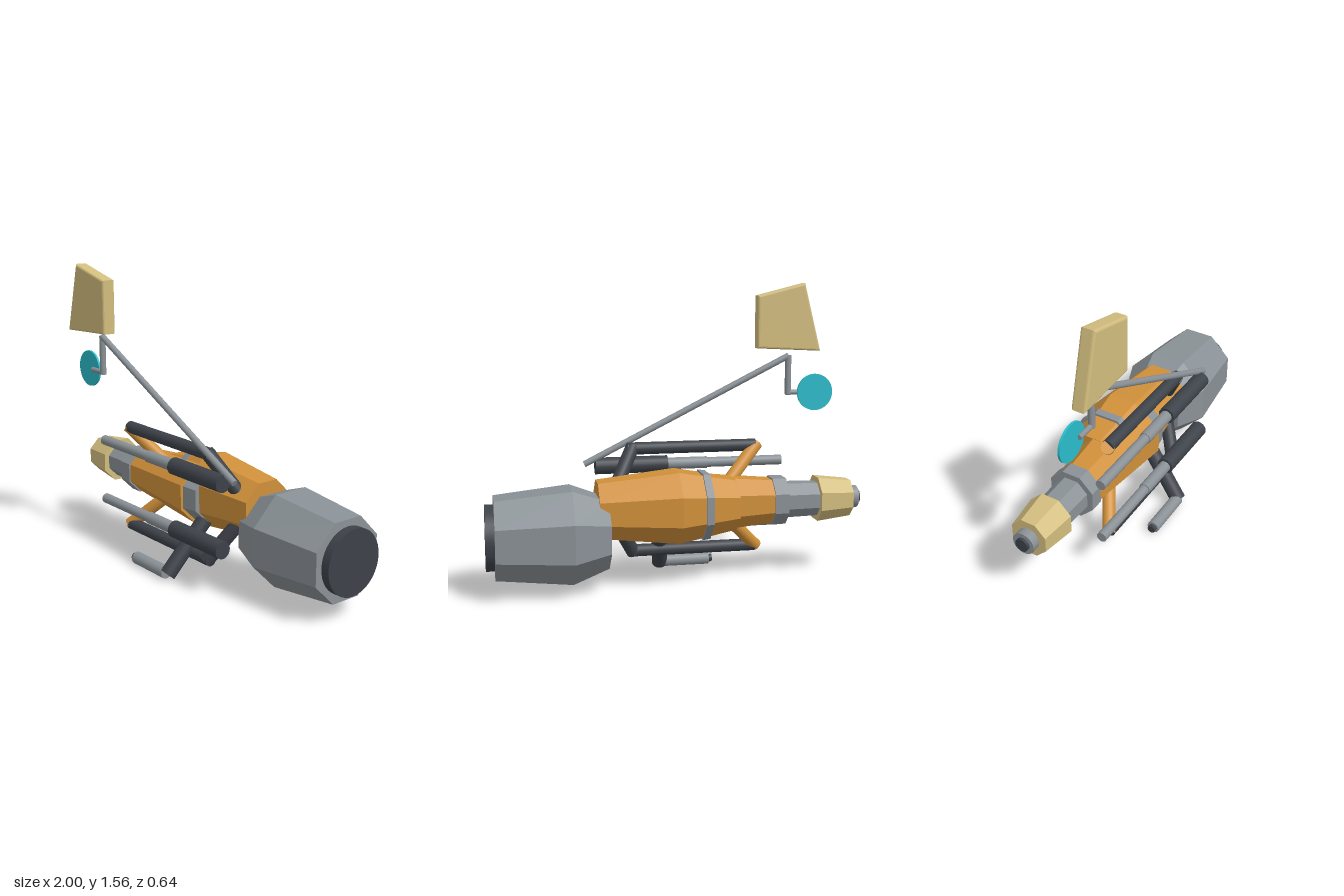
import * as THREE from 'three';

const mat = (name, color) => {
  const m = new THREE.MeshStandardMaterial({ color });
  m.name = name;
  return m;
};

export function createModel() {
  const orange = mat('orange', 0xd0903a);
  const tan = mat('tan', 0xd2bd7e);
  const grey = mat('grey', 0x8a9196);
  const dark = mat('charcoal', 0x3d4249);
  const cyan = mat('cyan', 0x2bbccb);

  const model = new THREE.Group();
  model.name = 'spaceFreighter';
  const add = (name, geometry, material, parent = model) => {
    const mesh = new THREE.Mesh(geometry, material);
    mesh.name = name;
    parent.add(mesh);
    return mesh;
  };
  const group = (name) => {
    const g = new THREE.Group();
    g.name = name;
    model.add(g);
    return g;
  };

  // Faceted eight-sided hull along x; stations are [x, half height], flat side up
  const octagon = (name, stations, y, z, material) => {
    const k = 1 / Math.cos(Math.PI / 8);
    const pts = stations.map(([x, r]) => new THREE.Vector2(r * k, x));
    pts.unshift(new THREE.Vector2(0, stations[0][0]));
    pts.push(new THREE.Vector2(0, stations[stations.length - 1][0]));
    const geo = new THREE.LatheGeometry(pts, 8, Math.PI / 8).toNonIndexed();
    geo.computeVertexNormals();
    geo.rotateZ(-Math.PI / 2);
    return add(name, geo.translate(0, y, z), material);
  };

  // Round rod between two points
  const rod = (name, a, b, r, material, parent, sides = 20) => {
    const p = new THREE.Vector3(...a), q = new THREE.Vector3(...b);
    const d = q.clone().sub(p);
    const mesh = add(name, new THREE.CylinderGeometry(r, r, d.length(), sides), material, parent);
    mesh.position.copy(p).add(q).multiplyScalar(0.5);
    mesh.quaternion.setFromUnitVectors(new THREE.Vector3(0, 1, 0), d.normalize());
    return mesh;
  };

  // Engine
  octagon('engine', [[0.385, 0.172], [0.57, 0.238], [0.955, 0.2]], 0.308, -0.08, grey);
  rod('engineNozzle', [0.94, 0.308, -0.08], [1, 0.308, -0.08], 0.167, dark, model, 40);

  // Main hull, its strap, and the forward hull beside it
  octagon('rearHull', [[-0.29, 0.13], [0.02, 0.185], [0.435, 0.142]], 0.425, -0.052, orange);
  octagon('hullStrap', [[-0.145, 0.168], [-0.105, 0.173]], 0.425, -0.052, grey);
  const ny = 0.42, nz = 0.014;
  octagon('forwardHull', [[-0.5, 0.115], [0.02, 0.16]], ny, nz, orange);
  octagon('hullPlug', [[0.02, 0.145], [0.11, 0.133]], ny, nz, grey);

  // Nose
  octagon('noseCollar', [[-0.575, 0.123], [-0.5, 0.123]], ny, nz, grey);
  octagon('noseNeck', [[-0.76, 0.088], [-0.57, 0.092]], ny, nz, grey);
  octagon('noseCone', [[-0.94, 0.096], [-0.755, 0.117]], ny, nz, tan);
  rod('noseCap', [-0.985, ny, nz], [-0.93, ny, nz], 0.06, grey);
  rod('noseTip', [-1, ny, nz], [-0.98, ny, nz], 0.036, dark);

  // Guns and side pipes, mirrored above and below the hull axis
  for (const s of [1, -1]) {
    const side = s > 0 ? 'upper' : 'lower';
    const gy = 0.43 + s * 0.17, gz = 0.215;
    const gun = group(side + 'Gun');
    rod('gunBody', [0.02, gy, gz], [0.41, gy, gz], 0.045, dark, gun);
    rod('gunSleeve', [-0.2, gy, gz], [0.03, gy, gz], 0.032, grey, gun);
    rod('gunBarrel', [-0.62, gy, gz], [-0.19, gy, gz], 0.027, grey, gun);

    const pipe = group(side + 'Pipe');
    const py = 0.42 + s * 0.278, pz = 0.155;
    rod('pipe', [-0.455, py, pz], [0.245, py, pz], 0.033, dark, pipe);
    rod('frontStrut', [-0.465, py + s * 0.005, pz + 0.005], [-0.28, 0.42 + s * 0.1, 0.045], 0.034, orange, pipe);
    rod('rearStrut', [0.215, py + s * 0.01, pz + 0.005], [0.335, 0.42 + s * 0.07, 0.04], 0.037, dark, pipe);
  }

  // Lower pod on its arm
  const pod = group('lowerPod');
  rod('podArm', [0.05, 0.035, 0.285], [0.09, 0.3, 0.07], 0.042, dark, pod);
  rod('podBody', [-0.225, 0.042, 0.285], [0.04, 0.042, 0.285], 0.033, grey, pod);
  rod('podTip', [-0.245, 0.042, 0.285], [-0.22, 0.042, 0.285], 0.021, dark, pod);

  // Antenna mast with a thin dish
  const mast = group('antenna');
  const az = 0.195;
  rod('mastBoom', [0.47, 0.615, az], [-0.65, 1.175, az], 0.017, grey, mast);
  rod('mastDrop', [-0.65, 1.178, az], [-0.65, 0.965, az], 0.017, grey, mast);
  rod('mastArm', [-0.64, 0.975, az], [-0.755, 0.975, az], 0.014, grey, mast);
  rod('dish', [-0.8, 0.975, 0.177], [-0.8, 0.975, 0.189], 0.1, cyan, mast, 40);

  // Floating bevelled panel
  const b = 0.012;
  const shape = new THREE.Shape([
    [-0.83, 1.208], [-0.497, 1.226], [-0.497, 1.49], [-0.742, 1.552],
  ].map(([x, y]) => new THREE.Vector2(x, y)));
  const panel = new THREE.ExtrudeGeometry(shape, {
    depth: 0.073 - 2 * b, bevelEnabled: true, bevelSize: b, bevelThickness: b, bevelSegments: 3,
  });
  add('panel', panel.translate(0, 0, 0.218 + b), tan);

  return model;
}
